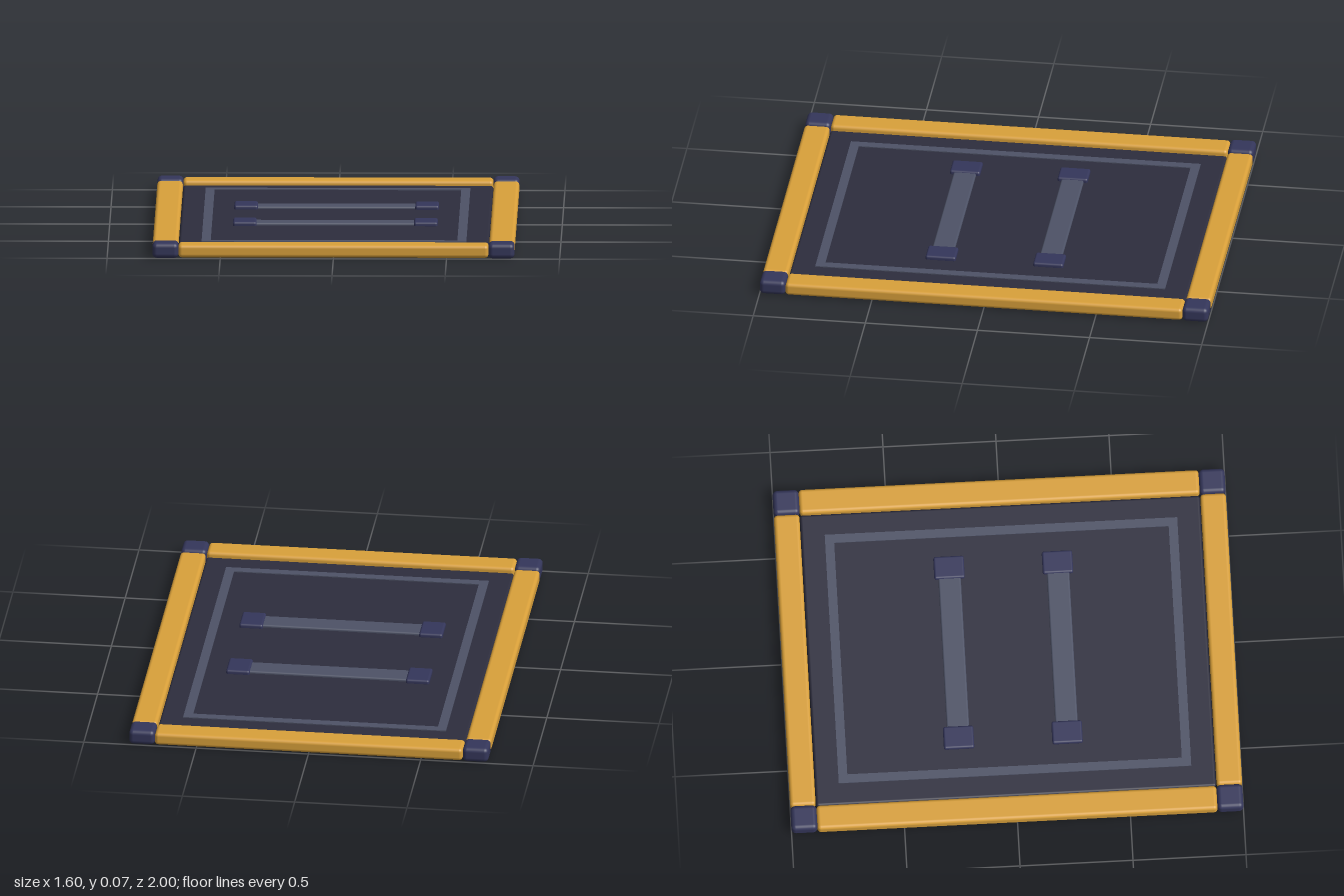
import * as THREE from 'three';
import { RoundedBoxGeometry } from 'three/addons/geometries/RoundedBoxGeometry.js';

const material = (color) => new THREE.MeshStandardMaterial({ color });

export function createModel() {
  const model = new THREE.Group();
  const gold = material(0xd9a03a);
  const dark = material(0x2d2d3d);
  const navy = material(0x34365a);
  const slate = material(0x4d5266);

  // Rounded block spanning y0..y1, centred at x, z
  const block = (name, mat, w, d, y0, y1, x, z, r) => {
    const mesh = new THREE.Mesh(new RoundedBoxGeometry(w, y1 - y0, d, 3, r), mat);
    mesh.name = name;
    mesh.position.set(x, (y0 + y1) / 2, z);
    model.add(mesh);
  };

  // Base panel
  block('panel', dark, 1.37, 1.77, 0.01, 0.04, 0, 0, 0.012);

  // Thin rectangular inlay on the panel
  const outline = new THREE.Shape();
  outline.moveTo(-0.585, -0.78).lineTo(0.585, -0.78).lineTo(0.585, 0.78).lineTo(-0.585, 0.78).closePath();
  const opening = new THREE.Path();
  opening.moveTo(-0.545, -0.74).lineTo(-0.545, 0.74).lineTo(0.545, 0.74).lineTo(0.545, -0.74).closePath();
  outline.holes.push(opening);
  const inlay = new THREE.Mesh(
    new THREE.ExtrudeGeometry(outline, { depth: 0.008, bevelEnabled: false }).rotateX(-Math.PI / 2), slate);
  inlay.name = 'inlay';
  inlay.position.y = 0.036;
  model.add(inlay);

  for (const s of [-1, 1]) {
    // Edge rails
    block('sideRail', gold, 0.113, 1.77, 0.003, 0.06, s * 0.7435, 0, 0.016);
    block('endRail', gold, 1.37, 0.113, 0.003, 0.06, 0, s * 0.9435, 0.016);

    // Cross bars with end caps
    block('crossBar', slate, 0.76, 0.1, 0.032, 0.051, 0, s * 0.24, 0.008);
    for (const t of [-1, 1]) {
      block('barCap', navy, 0.105, 0.135, 0.032, 0.058, t * 0.4, s * 0.24, 0.01);
      block('cornerCap', navy, 0.115, 0.115, 0, 0.067, t * 0.7425, s * 0.9425, 0.02);
    }
  }
  return model;
}
